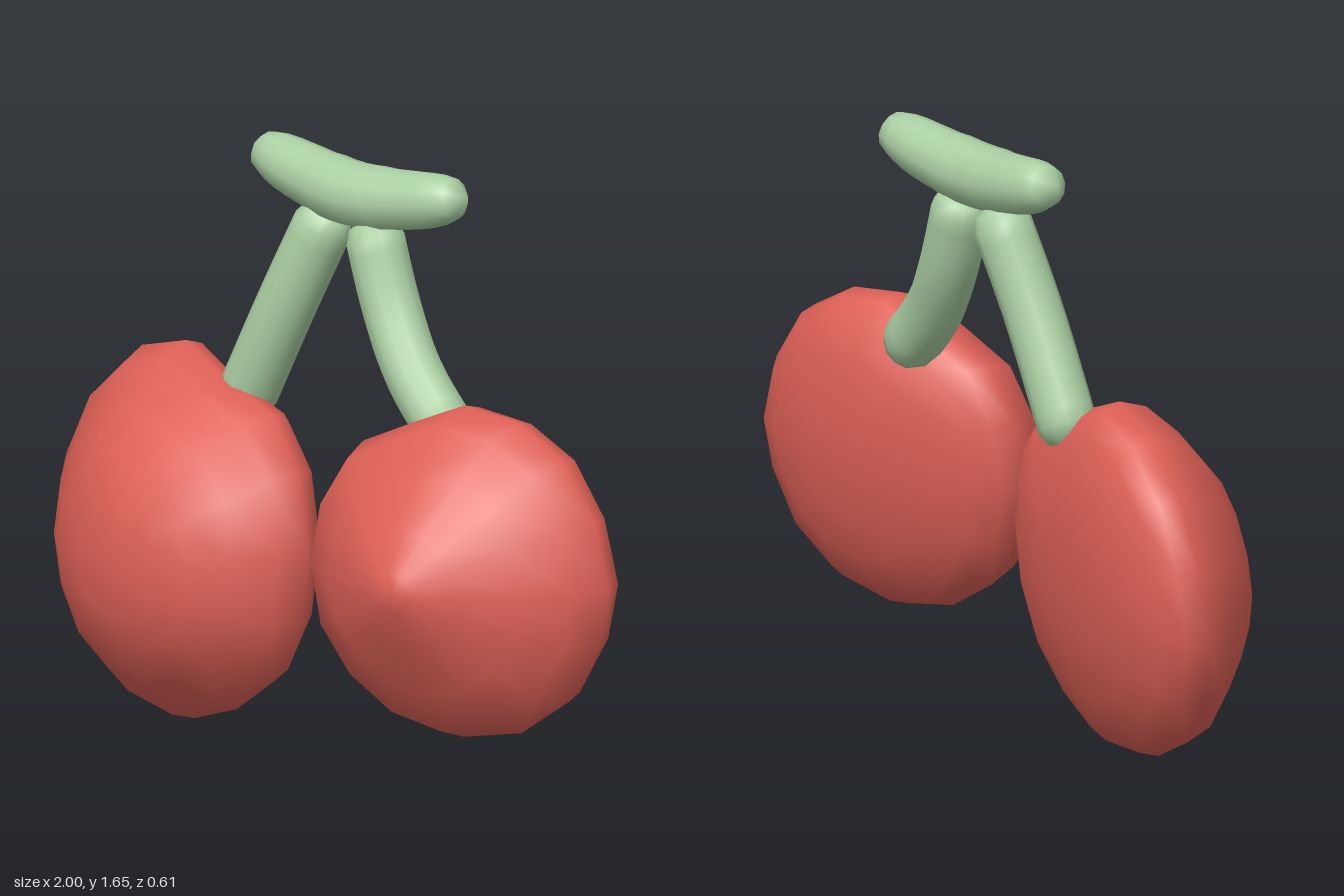
import * as THREE from 'three';
import { mergeVertices } from 'three/addons/utils/BufferGeometryUtils.js';

const cherryRed = new THREE.MeshStandardMaterial({ color: 0xdd6056 });
cherryRed.name = 'cherryRed';
const stemGreen = new THREE.MeshStandardMaterial({ color: 0xabd0a4 });
stemGreen.name = 'stemGreen';

// Flattened fruit: one outline scaled into rings [fraction, depth], from front tip to back.
// The rings lie on a plane leaning by tiltX and tiltY.
function fruit(name, { centre, tip, tiltX, tiltY, outline, front }) {
  const back = [[0.96, -0.05], [0.86, -0.1], [0.65, -0.15], [0.35, -0.18], [0, -0.195]];
  const rings = [...front, [1, 0.01], ...back];
  const n = outline.length;
  const positions = [];
  const index = [];
  rings.forEach(([f, depth], i) => {
    const shift = depth > 0.01 ? 1 - f : 0;
    outline.forEach(([px, py], j) => {
      const x = (px - centre[0]) * f + tip[0] * shift;
      const y = (py - centre[1]) * f + tip[1] * shift;
      positions.push(centre[0] + x, centre[1] + y, -0.07 + tiltX * x + tiltY * y + depth);
      if (i < rings.length - 1) {
        const a = i * n + j, b = i * n + (j + 1) % n;
        if (f > 0) index.push(a, b, b + n);
        if (rings[i + 1][0] > 0) index.push(a, b + n, a + n);
        else index.push(a, b, a + n);
      }
    });
  });
  let geometry = new THREE.BufferGeometry();
  geometry.setAttribute('position', new THREE.Float32BufferAttribute(positions, 3));
  geometry.setIndex(index);
  geometry = mergeVertices(geometry);
  geometry.computeVertexNormals();
  const mesh = new THREE.Mesh(geometry, cherryRed);
  mesh.name = name;
  return mesh;
}

// Curved tube whose ends close in rounded tips
function stem(name, points, radius, tips) {
  const curve = new THREE.CatmullRomCurve3(points.map(p => new THREE.Vector3(...p)));
  const segments = 18, sides = 12;
  let geometry = new THREE.TubeGeometry(curve, segments, radius, sides, false);
  const pos = geometry.attributes.position;
  const v = new THREE.Vector3();
  for (let i = 0; i <= segments; i++) {
    const core = curve.getPointAt(i / segments);
    const scale = tips[Math.min(i, segments - i)] ?? 1;
    for (let j = 0; j <= sides; j++) {
      const k = i * (sides + 1) + j;
      v.fromBufferAttribute(pos, k).sub(core).multiplyScalar(scale).add(core);
      pos.setXYZ(k, v.x, v.y, v.z);
    }
  }
  geometry.deleteAttribute('uv');
  geometry.deleteAttribute('normal');
  geometry = mergeVertices(geometry);
  geometry.computeVertexNormals();
  const mesh = new THREE.Mesh(geometry, stemGreen);
  mesh.name = name;
  return mesh;
}

export function createModel() {
  const group = new THREE.Group();
  group.name = 'cherries';

  // Larger fruit with a broad dome
  group.add(fruit('rightCherry', {
    centre: [-0.49, 0.5], tip: [0.04, 0], tiltX: 0.15, tiltY: -0.09,
    outline: [[-0.56, 1.02], [-0.4, 0.96], [-0.17, 0.91], [-0.04, 0.78], [0.02, 0.58], [0.01, 0.37],
      [-0.08, 0.19], [-0.24, 0.07], [-0.42, 0], [-0.63, 0.02], [-0.82, 0.11], [-0.94, 0.26],
      [-1, 0.44], [-0.98, 0.64], [-0.89, 0.83], [-0.75, 0.96]],
    front: [[0, 0.36], [0.3, 0.345], [0.55, 0.295], [0.75, 0.21], [0.94, 0.1]],
  }));

  // Smaller fruit rising to a blunt point
  group.add(fruit('leftCherry', {
    centre: [0.55, 0.61], tip: [0.06, 0.03], tiltX: -0.2, tiltY: -0.1,
    outline: [[0.51, 1.07], [0.68, 1.05], [0.83, 0.97], [0.94, 0.82], [1, 0.64], [0.98, 0.48],
      [0.9, 0.31], [0.76, 0.2], [0.58, 0.16], [0.41, 0.19], [0.26, 0.28], [0.15, 0.41],
      [0.1, 0.59], [0.12, 0.77], [0.2, 0.92], [0.36, 1]],
    front: [[0, 0.37], [0.12, 0.36], [0.36, 0.3], [0.67, 0.2], [0.92, 0.11]],
  }));

  // Stems and the bar joining them
  group.add(stem('rightStem',
    [[-0.39, 0.84, -0.145], [-0.22, 1.2, -0.165], [-0.09, 1.5, -0.21]], 0.083, [0, 0.8]));
  group.add(stem('leftStem',
    [[0.05, 1.5, -0.2], [0.15, 1.25, -0.185], [0.26, 1.09, -0.16], [0.43, 0.92, -0.15]], 0.083, [0, 0.8]));
  group.add(stem('topBar',
    [[-0.385, 1.6, -0.2], [-0.2, 1.56, -0.2], [0, 1.54, -0.195], [0.2, 1.56, -0.215], [0.385, 1.6, -0.24]],
    0.09, [0, 0.62, 0.78, 0.86, 0.9, 0.93, 0.95]));
  return group;
}
